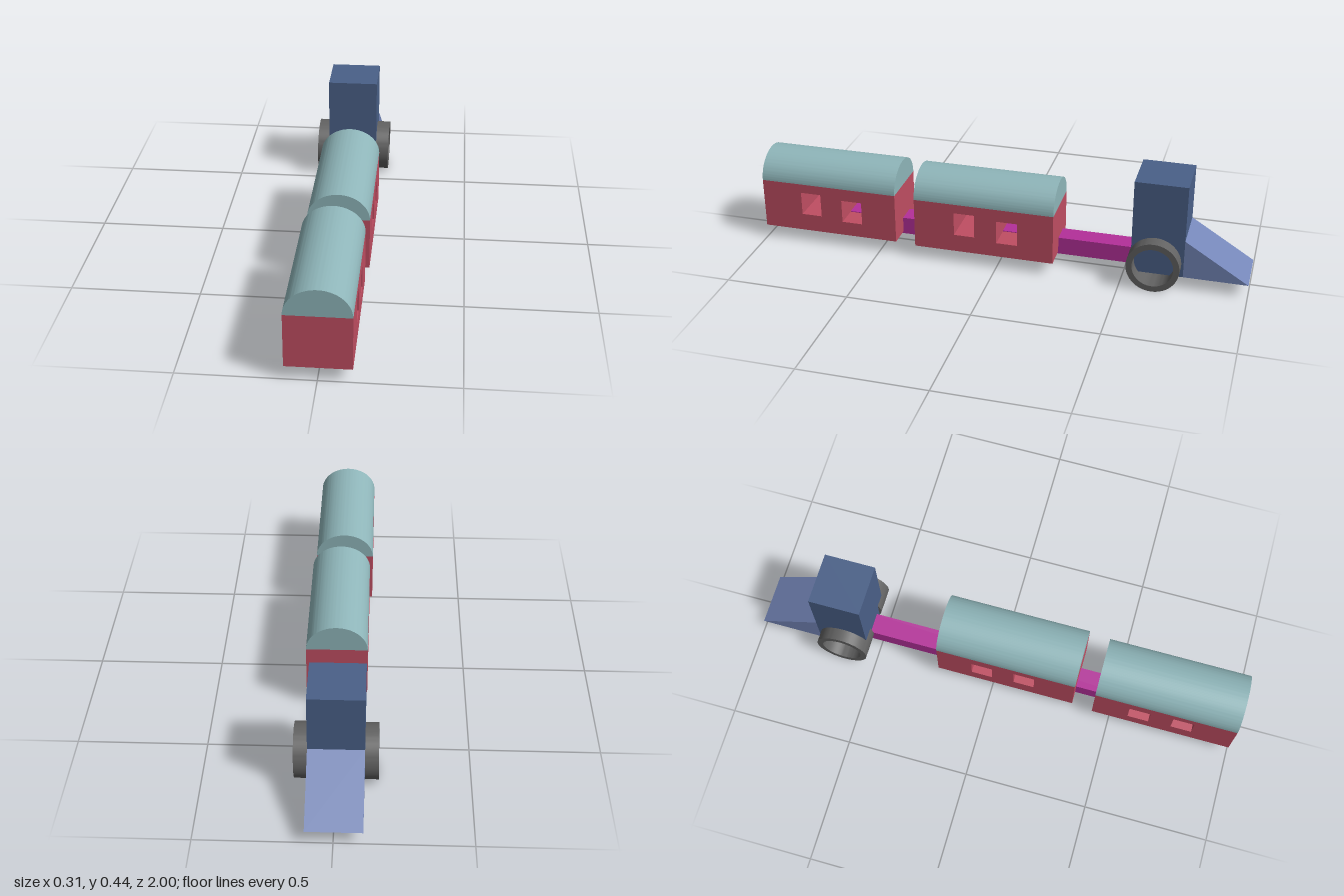
import * as THREE from 'three';
import { toCreasedNormals } from 'three/addons/utils/BufferGeometryUtils.js';

const paint = (color) => new THREE.MeshStandardMaterial({ color });
const RED = paint(0xc04e62), TEAL = paint(0x8fb6ba), NAVY = paint(0x4a6088);
const BLUE = paint(0x7486b8), MAGENTA = paint(0xb4309a), GREY = paint(0x626262);

// Box given by its limits on each axis
function box(name, [x0, x1], [y0, y1], [z0, z1], material) {
  const mesh = new THREE.Mesh(new THREE.BoxGeometry(x1 - x0, y1 - y0, z1 - z0), material);
  mesh.name = name;
  mesh.position.set((x0 + x1) / 2, (y0 + y1) / 2, (z0 + z1) / 2);
  return mesh;
}

function rectangle(Type, x0, y0, x1, y1) {
  const r = new Type();
  r.moveTo(x0, y0).lineTo(x1, y0).lineTo(x1, y1).lineTo(x0, y1).closePath();
  return r;
}

const extrude = (shape, depth) => toCreasedNormals(
  new THREE.ExtrudeGeometry(shape, { depth, bevelEnabled: false, curveSegments: 32 }), 0.5);

// Side profile (horizontal axis = -z, vertical = y) extruded across x and centred
function acrossX(name, shape, width, material) {
  const mesh = new THREE.Mesh(extrude(shape, width).translate(0, 0, -width / 2), material);
  mesh.name = name;
  mesh.rotation.y = Math.PI / 2;
  return mesh;
}

// Carriage: body with two window tunnels and a half-round roof
function carriage(name, x, zEnd) {
  const length = 0.573, width = 0.24, floor = 0.055, eave = 0.264;
  const car = new THREE.Group();
  car.name = name;
  const side = rectangle(THREE.Shape, 0, floor, length, eave);
  side.holes.push(
    rectangle(THREE.Path, 0.166, 0.128, 0.251, 0.226),
    rectangle(THREE.Path, 0.342, 0.115, 0.428, 0.212));
  car.add(acrossX('carriageBody', side, width, RED));

  const arch = new THREE.Shape();
  arch.absellipse(0, 0, width / 2, 0.105, 0, Math.PI, false, 0);
  arch.closePath();
  const roof = new THREE.Mesh(extrude(arch, length), TEAL);
  roof.name = 'carriageRoof';
  roof.position.set(0, eave, -length);
  car.add(roof);
  car.position.set(x, 0, zEnd);
  return car;
}

// Hollow wheel ring, leaning very slightly
function wheel(name, x) {
  const ring = new THREE.Shape();
  ring.absarc(0, 0, 0.105, 0, Math.PI * 2, false);
  const hole = new THREE.Path();
  hole.absarc(0, 0, 0.081, 0, Math.PI * 2, true);
  ring.holes.push(hole);
  const pivot = new THREE.Group();
  pivot.name = name;
  pivot.add(acrossX('wheelRing', ring, 0.104, GREY));
  pivot.position.set(x, 0.107, -0.632);
  pivot.rotation.z = -0.015;
  return pivot;
}

export function createModel() {
  const train = new THREE.Group();
  train.name = 'train';

  // Carriages and the long coupling beam beneath them
  train.add(carriage('endCarriage', 0.003, 1.0));
  train.add(carriage('middleCarriage', 0.0135, 0.341));
  train.add(box('couplingBeam', [-0.053, 0.03], [0.046, 0.118], [-0.6, 0.836], MAGENTA));

  // Engine cab with a sloping plough
  train.add(box('cab', [-0.106, 0.102], [0.054, 0.442], [-0.746, -0.538], NAVY));
  const wedge = new THREE.Shape();
  wedge.moveTo(0.746, 0.054).lineTo(1.0, 0.054).lineTo(0.746, 0.212).closePath();
  const plough = acrossX('plough', wedge, 0.208, BLUE);
  plough.position.x = -0.002;
  train.add(plough);

  train.add(wheel('rightWheel', -0.1045), wheel('leftWheel', 0.103));
  return train;
}
